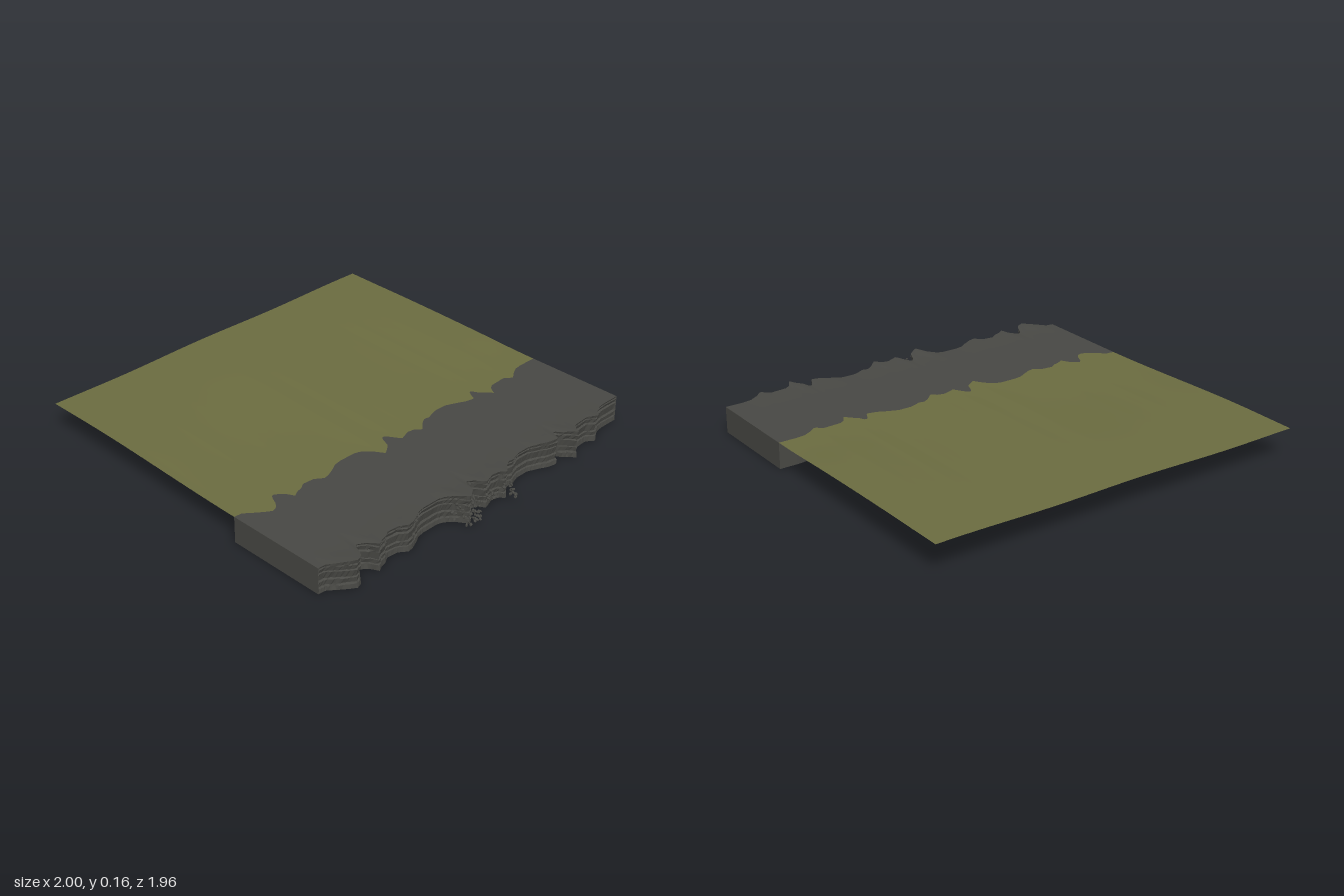
import * as THREE from 'three';

// Broken cliff edge: x, z pairs along the front rim
const RIM = [
  -1, .835, -.96, .838, -.92, .87, -.88, .9, -.85, .918, -.82, .908, -.8, .88, -.78, .835, -.765, .825, -.74, .842,
  -.72, .86, -.7, .9, -.67, .882, -.64, .875, -.61, .855, -.55, .86, -.51, .888, -.48, .883, -.43, .86, -.4, .842,
  -.36, .835, -.27, .835, -.24, .845, -.2, .88, -.165, .935, -.13, .91, -.11, .895, -.09, .84, -.073, .825, -.05, .85,
  -.02, .9, .04, .878, .08, .885, .105, .912, .15, .87, .18, .852, .21, .858, .24, .845, .27, .836, .34, .836,
  .4, .86, .44, .88, .49, .89, .515, .84, .53, .83, .55, .868, .575, .89, .6, .922, .625, .88, .65, .866,
  .74, .86, .78, .89, .82, .86, .86, .84, .9, .835, 1, .835,
];
const DEPTH = 0.525; // slab depth, the back edge repeats the rim

function rimZ(x) {
  let i = 0;
  while (i < RIM.length - 4 && RIM[i + 2] < x) i += 2;
  const t = THREE.MathUtils.clamp((x - RIM[i]) / (RIM[i + 2] - RIM[i]), 0, 1);
  return THREE.MathUtils.lerp(RIM[i + 1], RIM[i + 3], t);
}

function seeded(seed) {
  return () => {
    seed = (seed * 1664525 + 1013904223) % 4294967296;
    return seed / 4294967296;
  };
}

// Surface from a rule p(u, v) -> [x, y, z]; faces point along du x dv
function sheet(nu, nv, rule, flat = false) {
  const pos = [], index = [];
  for (let j = 0; j <= nv; j++) {
    for (let i = 0; i <= nu; i++) pos.push(...rule(i / nu, j / nv, i, j));
  }
  for (let j = 0; j < nv; j++) {
    for (let i = 0; i < nu; i++) {
      const a = j * (nu + 1) + i, b = a + 1, c = a + nu + 1, d = c + 1;
      index.push(a, b, d, a, d, c);
    }
  }
  let geo = new THREE.BufferGeometry();
  geo.setAttribute('position', new THREE.Float32BufferAttribute(pos, 3));
  geo.setIndex(index);
  if (flat) geo = geo.toNonIndexed();
  geo.computeVertexNormals();
  return geo;
}

const smooth = THREE.MathUtils.smoothstep;
// Top of the slab: level, curling up slightly where the rim juts out
const slabY = (x, v) => 0.134 + 0.13 * (rimZ(x) - 0.835) * smooth(1 - v, 0.75, 1);

// Gently rolling ground behind the slab
function groundY(x, z, t) {
  const roll = 0.003 * Math.cos(x * 6.5 + 0.6) + 0.0015 * Math.sin(z * 5 + x * 2);
  return 0.134 + 0.018 * smooth(t, 0, 0.8) + roll * smooth(t, 0, 0.3);
}

export function createModel() {
  const model = new THREE.Group();
  const rock = new THREE.MeshStandardMaterial({ color: 0x484844 });
  const grass = new THREE.MeshStandardMaterial({ color: 0x6b6c40, side: THREE.DoubleSide });
  const add = (name, geo, mat, parent = model) => {
    const mesh = new THREE.Mesh(geo, mat);
    mesh.name = name;
    parent.add(mesh);
    return mesh;
  };
  const N = 240;
  const X = (u) => u * 2 - 1;

  // Ground sheet
  add('ground', sheet(N, 30, (u, v) => {
    const x = X(u), z = THREE.MathUtils.lerp(rimZ(x) - DEPTH, -0.985, v);
    return [x, groundY(x, z, v), z];
  }), grass);

  // Rock slab
  const slab = new THREE.Group();
  slab.name = 'rockSlab';
  model.add(slab);
  add('slabTop', sheet(N, 16, (u, v) => {
    const x = X(u);
    return [x, slabY(x, v), rimZ(x) - DEPTH * v];
  }), rock, slab);
  add('slabBottom', sheet(N, 1, (u, v) => {
    const x = X(u);
    return [x, 0, rimZ(x) - DEPTH * (1 - v)];
  }), rock, slab);
  add('slabBack', sheet(N, 1, (u, v) => {
    const x = X(u);
    return [x, 0.134 * (1 - v), rimZ(x) - DEPTH];
  }), rock, slab);
  for (const s of [-1, 1]) {
    add(s > 0 ? 'leftEnd' : 'rightEnd', sheet(1, 1, (u, v) =>
      [s, 0.134 * v, 0.835 - DEPTH * (s > 0 ? u : 1 - u)]), rock, slab);
  }

  // Layered, cracked front face: ledges with shallow grooves between them
  const rows = [0, 0.024, 0.029, 0.052, 0.057, 0.094, 0.099, 0.119, 0.124, 1];
  const inset = [0, 0.003, 0.009, 0.004, 0.011, 0.003, 0.01, 0.002, 0.005, 0];
  const rand = seeded(7);
  add('cliffFace', sheet(N, rows.length - 1, (u, v, i, j) => {
    const x = X(u);
    const top = j === rows.length - 1, inner = j > 0 && !top && i > 0 && i < N;
    const slope = Math.abs(rimZ(x + 0.012) - rimZ(x - 0.012)) / 0.024;
    const rough = inner ? (rand() - 0.5) * (0.002 + 0.009 * Math.min(slope, 1.3)) : 0;
    const wave = inner ? 0.003 * Math.sin(x * 9 + j) : 0;
    const y = top ? slabY(x, 0) : rows[j] + wave * (j < 7 ? 1 : 0.4);
    return [x, y, rimZ(x) - (inner ? inset[j] : 0) + rough];
  }, true), rock, slab);

  // Loose chips below the most broken stretches: x, y, z, spread x, y, z, count
  const rubble = new THREE.Group();
  rubble.name = 'rubble';
  model.add(rubble);
  const clusters = [
    [-0.165, 0.035, 0.945, 0.04, 0.02, 0.025, 22],
    [-0.15, 0.08, 0.925, 0.05, 0.04, 0.02, 20],
    [-0.21, 0.07, 0.895, 0.025, 0.04, 0.015, 8],
    [-0.078, 0.07, 0.855, 0.02, 0.05, 0.02, 12],
    [0.005, 0.05, 0.91, 0.035, 0.03, 0.018, 10],
    [0.115, 0.05, 0.92, 0.025, 0.035, 0.025, 16],
    [0.118, 0.03, 0.955, 0.012, 0.01, 0.01, 4],
  ];
  const chip = new THREE.DodecahedronGeometry(1, 0);
  for (const [cx, cy, cz, sx, sy, sz, count] of clusters) {
    for (let k = 0; k < count; k++) {
      const r = () => rand() * 2 - 1;
      const stone = add('chip', chip, rock, rubble);
      stone.position.set(cx + sx * r(), cy + sy * r(), cz + sz * r());
      stone.rotation.set(r() * 3, r() * 3, r() * 3);
      stone.scale.set(0.007 + 0.004 * rand(), 0.004 + 0.003 * rand(), 0.005 + 0.004 * rand());
    }
  }
  return model;
}
